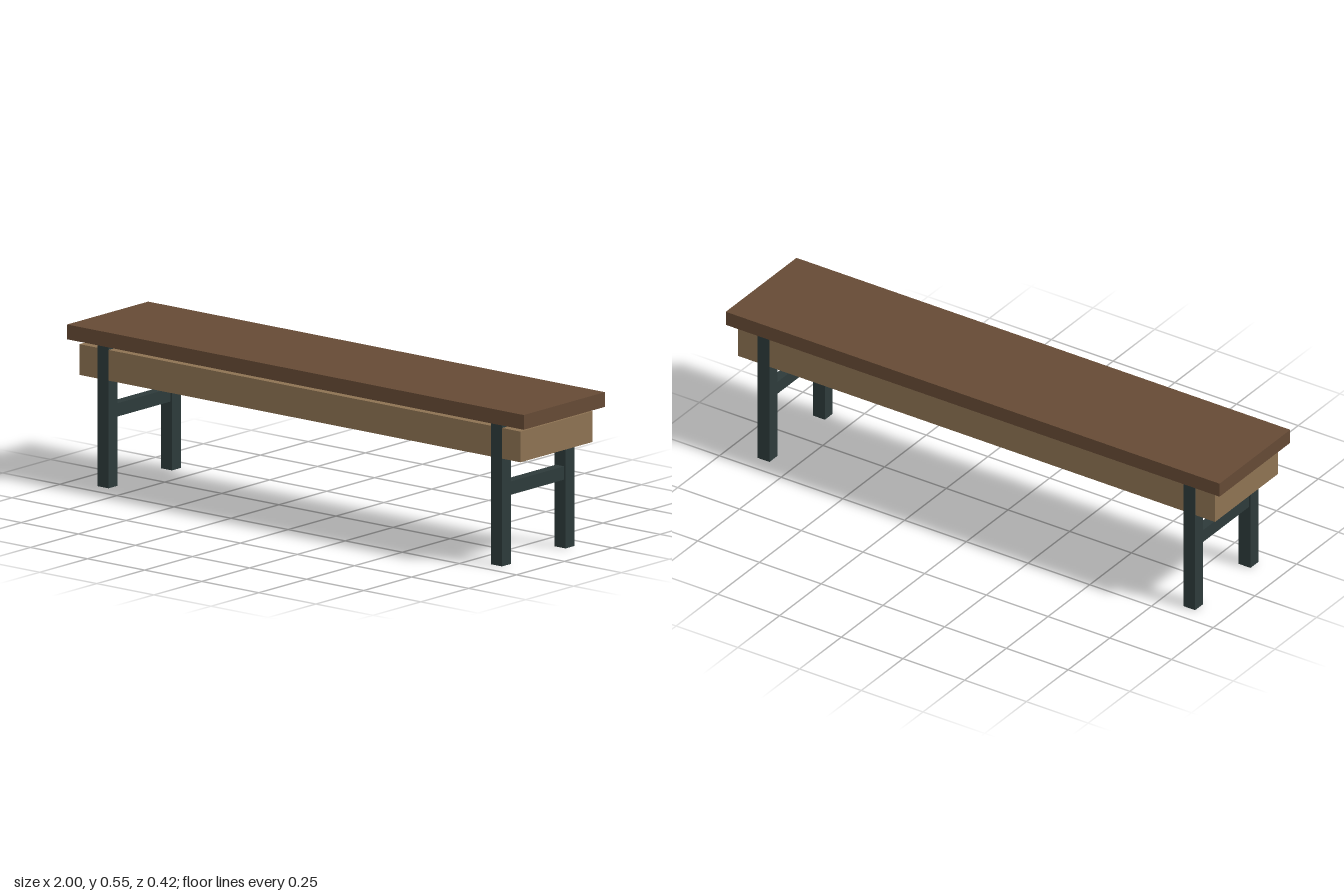
import * as THREE from 'three';

export function createModel() {
  const group = new THREE.Group();
  group.name = 'bench';

  const darkWood = new THREE.MeshStandardMaterial({ color: 0x654a35 });
  darkWood.name = 'dark wood';
  const lightWood = new THREE.MeshStandardMaterial({ color: 0x8d7252 });
  lightWood.name = 'light wood';
  const darkMetal = new THREE.MeshStandardMaterial({ color: 0x2d3a3a });
  darkMetal.name = 'dark metal';

  // Box spanning y0..y1, centred on x and z
  function addBox(name, material, width, depth, y0, y1, x = 0, z = 0) {
    const mesh = new THREE.Mesh(new THREE.BoxGeometry(width, y1 - y0, depth), material);
    mesh.name = name;
    mesh.position.set(x, (y0 + y1) / 2, z);
    group.add(mesh);
  }

  // Seat plank and the box beneath it, with a small gap between
  addBox('seat', darkWood, 2, 0.424, 0.494, 0.545);
  addBox('apron', lightWood, 1.932, 0.377, 0.372, 0.478);

  // Leg frames: two legs joined by a stretcher, legs just proud of the apron
  for (const [side, sx] of [['left', 1], ['right', -1]]) {
    const x = sx * 0.862;
    for (const [end, sz] of [['Front', 1], ['Back', -1]]) {
      addBox(`${side}${end}Leg`, darkMetal, 0.048, 0.047, 0, 0.494, x, sz * 0.166);
    }
    addBox(`${side}Stretcher`, darkMetal, 0.036, 0.285, 0.237, 0.283, x);
  }

  return group;
}
